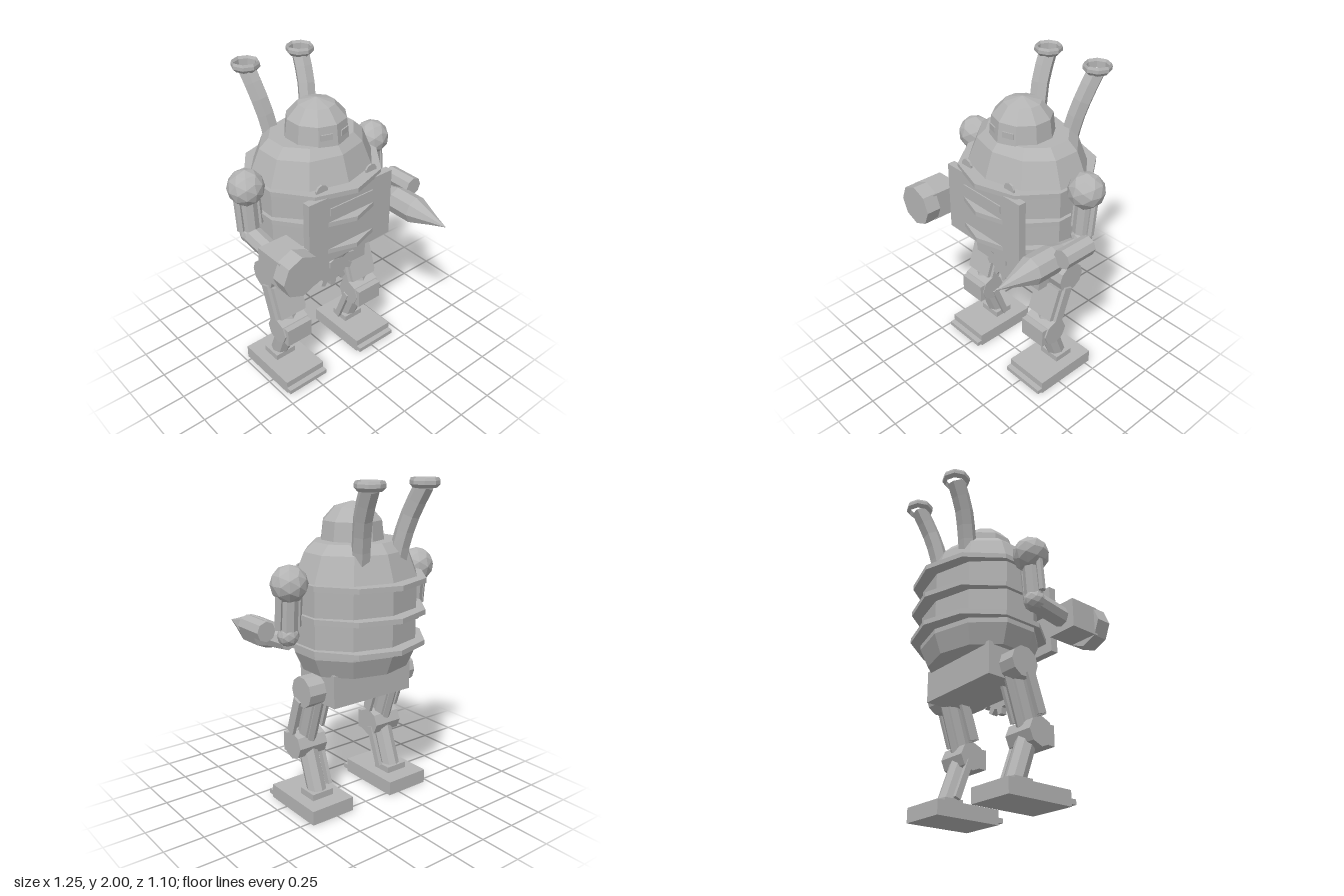
import * as THREE from 'three';

export function createModel() {
  const model = new THREE.Group();
  model.name = 'robot';
  const body = new THREE.Group();
  body.name = 'robotBody';
  body.position.x = -0.02;
  model.add(body);

  const metal = new THREE.MeshStandardMaterial({ color: 0xb4b4b4, flatShading: true, side: THREE.DoubleSide });
  metal.name = 'grey metal';

  const V = (x, y, z) => new THREE.Vector3(x, y, z);
  function add(name, geometry, x = 0, y = 0, z = 0) {
    const mesh = new THREE.Mesh(geometry, metal);
    mesh.name = name;
    mesh.position.set(x, y, z);
    body.add(mesh);
    return mesh;
  }
  const box = (name, w, h, d, x, y, z) => add(name, new THREE.BoxGeometry(w, h, d), x, y, z);
  const lathe = (pts, sides) => new THREE.LatheGeometry(pts.map(p => new THREE.Vector2(p[0], p[1])), sides);
  // Cylinder between two points
  function rod(name, a, b, r, sides = 8) {
    const dir = b.clone().sub(a);
    const mesh = add(name, new THREE.CylinderGeometry(r, r, dir.length(), sides));
    mesh.position.copy(a).add(b).multiplyScalar(0.5);
    mesh.quaternion.setFromUnitVectors(V(0, 1, 0), dir.normalize());
    return mesh;
  }

  // Boiler body, wider than deep, with three flanges
  const boiler = add('boiler', lathe([[0, 0.885], [0.285, 0.885], [0.33, 1.0], [0.33, 1.43],
    [0.275, 1.585], [0.225, 1.64], [0, 1.64]], 10), 0, 0, -0.12);
  boiler.scale.x = 1.21;
  for (const y of [1.045, 1.23, 1.417]) {
    const flange = add('flange', new THREE.CylinderGeometry(0.41, 0.41, 0.03, 10), 0, y, -0.12);
    flange.scale.x = 1.03;
  }

  // Head with eye slits
  add('head', lathe([[0, 1.63], [0.193, 1.63], [0.178, 1.75], [0.11, 1.825], [0, 1.857]], 10), 0, 0, -0.077);
  for (const s of [-1, 1]) {
    const eye = box('eye', 0.07, 0.035, 0.008, s * 0.065, 1.69, 0.093);
    eye.rotation.y = s * 0.31;
  }

  // Chest plate, vent and rivets
  box('chestPlate', 0.625, 0.44, 0.05, 0, 1.19, 0.21);
  box('chestVent', 0.32, 0.05, 0.009, 0, 1.31, 0.238);
  for (const s of [-1, 1]) {
    add('rivet', new THREE.CylinderGeometry(0.042, 0.042, 0.012, 10), s * 0.185, 1.435, 0.19).rotation.x = Math.PI / 2;
  }

  // Pelvis and gear
  box('pelvis', 0.585, 0.2, 0.335, 0, 0.8, -0.117);
  const gear = new THREE.Shape();
  const teeth = 12;
  for (let i = 0; i < teeth; i++) {
    [[-0.32, 0.132], [-0.2, 0.17], [0.2, 0.17], [0.32, 0.132]].forEach(([t, r], k) => {
      const a = (i + t) / teeth * Math.PI * 2 - Math.PI / 2;
      gear[i + k === 0 ? 'moveTo' : 'lineTo'](r * Math.cos(a), r * Math.sin(a));
    });
  }
  add('gear', new THREE.ExtrudeGeometry(gear, { depth: 0.04, bevelEnabled: false }), 0, 0.79, 0.04);
  add('gearHub', new THREE.CylinderGeometry(0.042, 0.042, 0.05, 6), 0, 0.79, 0.068).rotation.x = Math.PI / 2;

  for (const s of [-1, 1]) {
    // Exhaust pipe with flared open rim
    const path = new THREE.CatmullRomCurve3([V(s * 0.135, 1.52, -0.32), V(s * 0.15, 1.66, -0.345),
      V(s * 0.175, 1.81, -0.39), V(s * 0.195, 1.96, -0.465)]);
    add('exhaustPipe', new THREE.TubeGeometry(path, 5, 0.056, 6));
    add('exhaustRim', lathe([[0.066, 1.945], [0.085, 1.965], [0.085, 1.985], [0.078, 2.0],
      [0.068, 1.985], [0.066, 1.945]], 8), s * 0.196, 0, -0.468);

    // Shoulder, upper arm, side rods and elbow
    const ax = s * 0.477;
    add('shoulder', new THREE.IcosahedronGeometry(0.109, 1), ax, 1.435, -0.12);
    rod('upperArm', V(ax, 1.43, -0.12), V(ax, 1.14, -0.1), 0.055);
    for (const k of [-1, 1]) rod('armRod', V(ax + k * 0.065, 1.4, -0.12), V(ax + k * 0.065, 1.18, -0.1), 0.022, 6);
    add('elbow', new THREE.IcosahedronGeometry(0.065, 1), ax, 1.135, -0.1);

    // Hip and thigh with guard plates
    const lx = s * 0.3;
    add('hip', new THREE.CylinderGeometry(0.095, 0.095, 0.125, 10), s * 0.342, 0.78, -0.115).rotation.z = Math.PI / 2;
    rod('thigh', V(lx, 0.76, -0.115), V(lx, 0.4, 0.0), 0.06);
    const lean = -0.33;
    box('thighGuard', 0.19, 0.22, 0.035, s * 0.297, 0.61, -0.005).rotation.x = lean;
    for (const k of [-1, 1]) box('thighSidePlate', 0.022, 0.24, 0.06, lx + k * 0.108, 0.61, -0.045).rotation.x = lean;
    rod('thighPiston', V(lx, 0.72, -0.14), V(lx, 0.44, -0.05), 0.035, 6);

    // Knee
    add('knee', new THREE.CylinderGeometry(0.088, 0.088, 0.2, 8), lx, 0.4, 0.0).rotation.z = Math.PI / 2;
    box('kneeGuard', 0.185, 0.122, 0.1, s * 0.297, 0.395, 0.055);

    // Shin, piston, ankle
    rod('shin', V(lx, 0.4, -0.01), V(lx, 0.1, -0.12), 0.06);
    box('shinPiston', 0.025, 0.26, 0.04, s * 0.205, 0.25, -0.065).rotation.x = 0.36;
    box('ankle', 0.15, 0.05, 0.13, lx, 0.105, -0.115);

    // Foot and toe ledge
    box('foot', 0.3, 0.09, 0.44, lx, 0.045, -0.065);
    box('toe', 0.3, 0.03, 0.05, lx, 0.03, 0.165);
  }

  // Left forearm: drill with side barrel
  const drill = add('drill', lathe([[0, -0.1], [0.045, -0.1], [0.065, 0.06], [0.087, 0.14], [0.087, 0.3],
    [0.036, 0.44], [0, 0.55]], 8), 0.477, 1.092, 0);
  drill.rotation.x = Math.PI / 2;
  rod('sideBarrel', V(0.583, 1.16, -0.04), V(0.583, 1.16, 0.17), 0.06);

  // Right forearm: hammer hand
  rod('forearm', V(-0.477, 1.135, -0.1), V(-0.477, 1.1, 0.13), 0.06);
  box('hammerBlock', 0.195, 0.18, 0.2, -0.477, 1.1, 0.21);
  const head = add('hammerHead', new THREE.CylinderGeometry(0.13, 0.13, 0.097, 8), -0.477, 1.1, 0.335);
  head.rotation.x = Math.PI / 2;

  return model;
}
